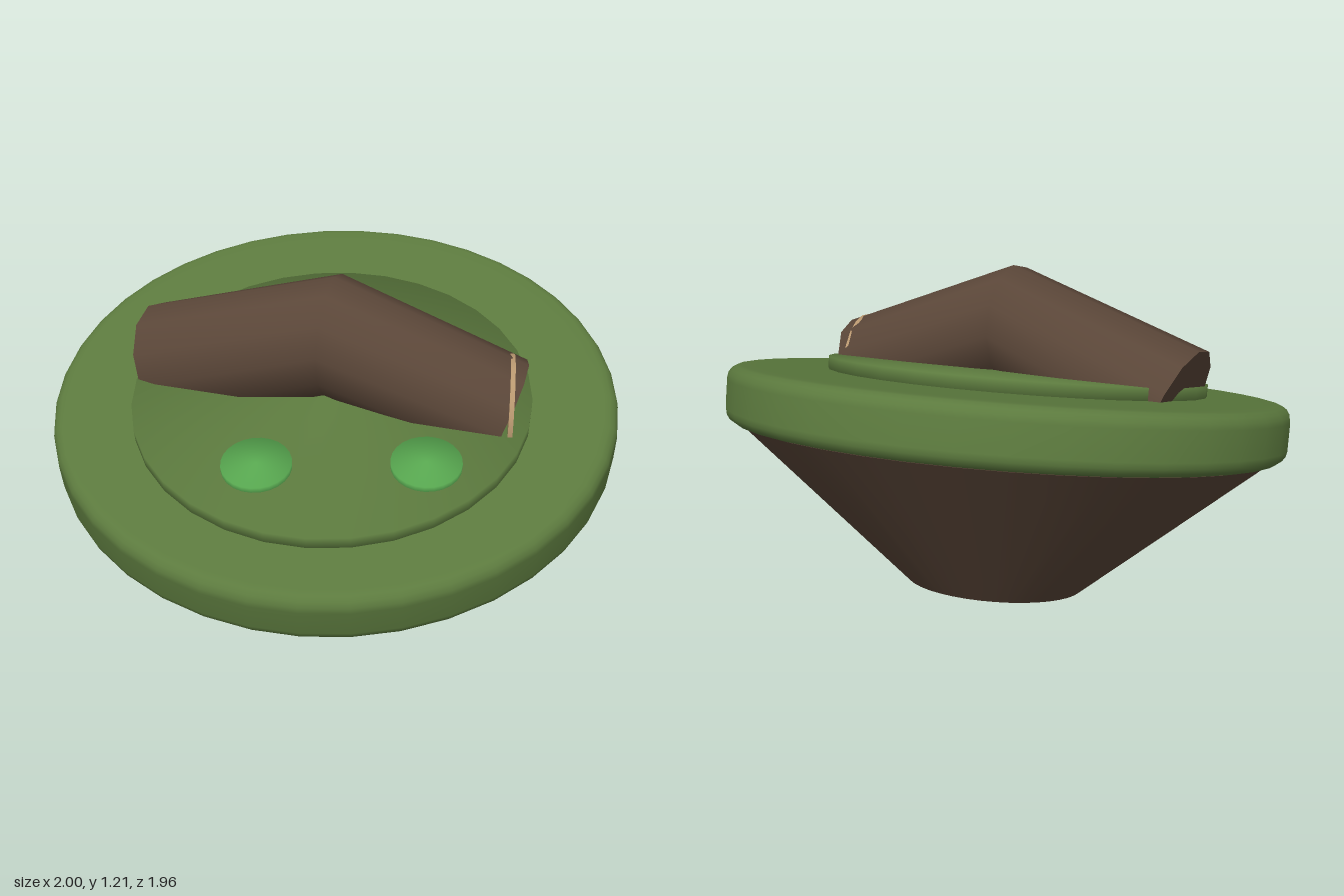
import * as THREE from 'three';

const mat = (name, color, side = THREE.FrontSide) => {
  const m = new THREE.MeshStandardMaterial({ color, side });
  m.name = name;
  return m;
};

function addMesh(parent, name, geometry, material) {
  const mesh = new THREE.Mesh(geometry, material);
  mesh.name = name;
  parent.add(mesh);
  return mesh;
}

// Thin disc whose edge normals lean outward, so its flat top shades softly
function softDisc(radius, height, segments) {
  const g = new THREE.CylinderGeometry(radius, radius, height, segments);
  const p = g.attributes.position, n = g.attributes.normal;
  const v = new THREE.Vector3();
  for (let i = 0; i < p.count; i++) {
    v.set(p.getX(i) / radius, Math.sign(p.getY(i)), p.getZ(i) / radius).normalize();
    n.setXYZ(i, v.x, v.y, v.z);
  }
  return g;
}

// Round bar through three rings, each with its own centre and radius
function bentLog(centres, radii, sides) {
  const g = new THREE.CylinderGeometry(1, 1, 2, sides, 2, false, -Math.PI / 2);
  const p = g.attributes.position;
  const frames = centres.map((c, i) => {
    const along = centres[Math.min(i + 1, 2)].clone().sub(centres[Math.max(i - 1, 0)]).normalize();
    const up = new THREE.Vector3(0, 1, 0).addScaledVector(along, -along.y).normalize();
    return { up, side: up.clone().cross(along) };
  });
  const v = new THREE.Vector3();
  for (let i = 0; i < p.count; i++) {
    const k = Math.round(p.getY(i)) + 1;
    v.copy(centres[k])
      .addScaledVector(frames[k].up, p.getX(i) * radii[k])
      .addScaledVector(frames[k].side, p.getZ(i) * radii[k]);
    p.setXYZ(i, v.x, v.y, v.z);
  }
  g.computeVertexNormals();
  return g;
}

export function createModel() {
  const model = new THREE.Group();
  model.name = 'tiltedIsland';

  const green = mat('mossGreen', 0x5c7a3e);
  const brightGreen = mat('brightGreen', 0x58a850);
  const brown = mat('barkBrown', 0x5a4638);
  const tan = mat('cutWood', 0xb8976f);

  // Everything but the log leans forward together
  const island = new THREE.Group();
  island.name = 'island';
  island.position.y = 0.7;
  island.rotation.x = 0.25;
  model.add(island);

  // Rounded grass slab
  const half = 0.098;
  const profile = [new THREE.Vector2(0, -half), new THREE.Vector2(0.9, -half)];
  const bevel = 0.05;
  for (const [cy, start] of [[-half + bevel, -Math.PI / 2], [half - bevel, 0]]) {
    for (let i = 0; i <= 4; i++) {
      const a = start + (i / 4) * Math.PI / 2;
      profile.push(new THREE.Vector2(0.95 + bevel * Math.cos(a), cy + bevel * Math.sin(a)));
    }
  }
  profile.push(new THREE.Vector2(0.9, half), new THREE.Vector2(0, half));
  addMesh(island, 'grassSlab', new THREE.LatheGeometry(profile, 40), green);

  // Earth cone underneath
  const earth = addMesh(island, 'earthCone', new THREE.CylinderGeometry(0.945, 0.32, 0.54, 40), brown);
  earth.position.y = -0.37;

  // Raised inner disc and two small pads
  const inner = addMesh(island, 'innerDisc', softDisc(0.695, 0.06, 32), green);
  inner.position.set(0, 0.111, 0.09);
  for (const [x, z] of [[-0.2, 0.49], [0.35, 0.44]]) {
    const pad = addMesh(island, 'pad', softDisc(0.117, 0.04, 24), brightGreen);
    pad.position.set(x, 0.141, z);
  }

  // Arched log lying across the disc
  const centres = [
    new THREE.Vector3(-0.63, 0.79, -0.085),
    new THREE.Vector3(0, 1.0, 0.07),
    new THREE.Vector3(0.605, 0.768, 0.12),
  ];
  addMesh(model, 'log', bentLog(centres, [0.222, 0.212, 0.19], 12), brown);

  // Cut face at the log's left end
  const cut = addMesh(model, 'logCutFace', new THREE.CylinderGeometry(0.188, 0.188, 0.016, 20), tan);
  cut.rotation.z = -Math.PI / 2;
  cut.position.set(0.618, 0.78, 0.125);

  return model;
}
